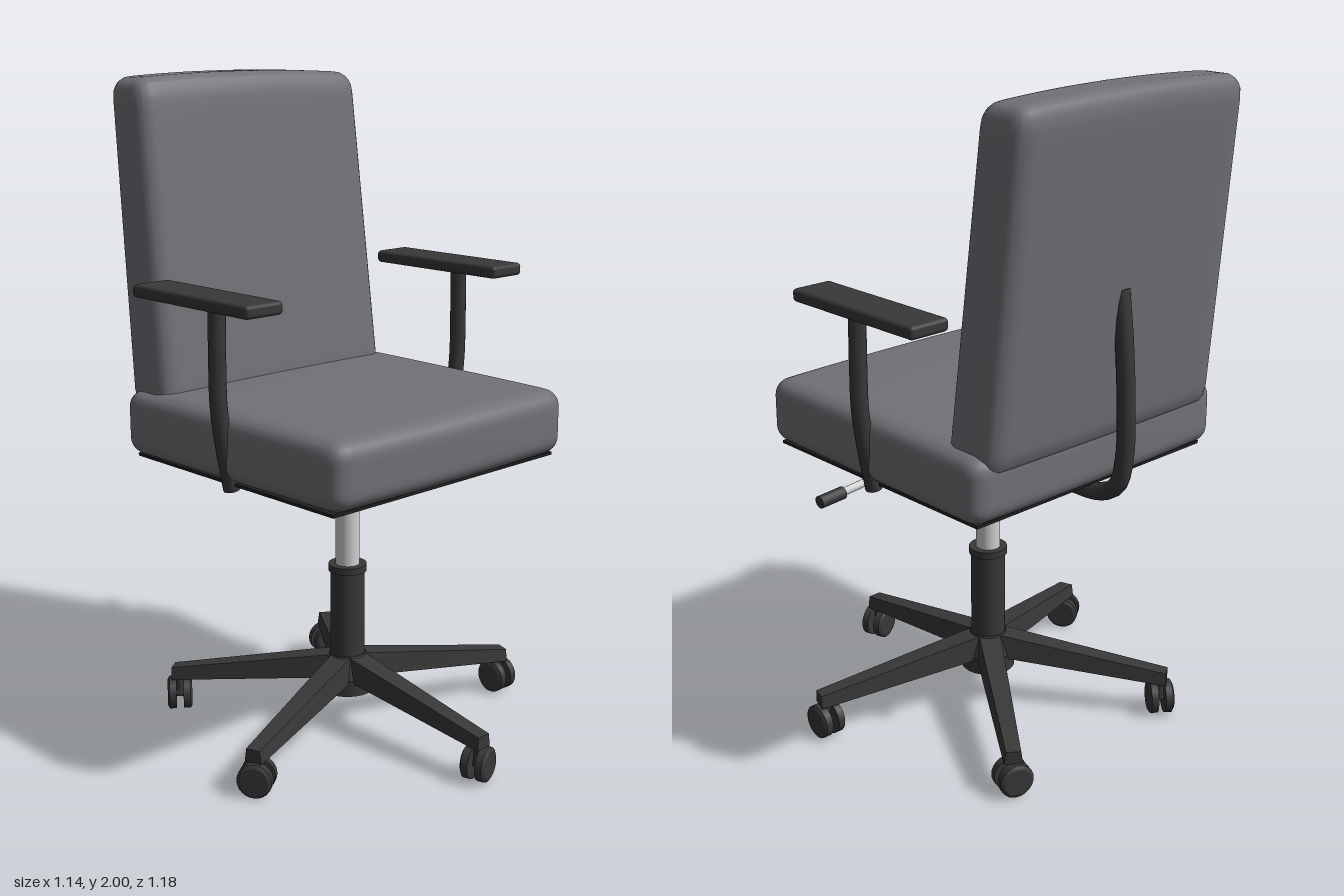
import * as THREE from 'three';
import { mergeVertices } from 'three/addons/utils/BufferGeometryUtils.js';
import { RoundedBoxGeometry } from 'three/addons/geometries/RoundedBoxGeometry.js';

const material = (name, color) => Object.assign(new THREE.MeshStandardMaterial({ color }), { name });
const fabric = material('grey fabric', 0x727177);
const plastic = material('dark plastic', 0x383838);
const chrome = material('chrome', 0xd2d2d2);
const black = material('black underside', 0x202020);

function part(name, geometry, mat, parent, x = 0, y = 0, z = 0) {
  const mesh = new THREE.Mesh(geometry, mat);
  mesh.name = name;
  mesh.position.set(x, y, z);
  parent.add(mesh);
  return mesh;
}

// Move every vertex of a geometry by a rule
function reshape(geometry, rule) {
  const pos = geometry.attributes.position;
  const p = new THREE.Vector3();
  for (let i = 0; i < pos.count; i++) {
    rule(p.fromBufferAttribute(pos, i));
    pos.setXYZ(i, p.x, p.y, p.z);
  }
  return geometry;
}

// Smooth padded block: rounded edges, then a softening rule
function cushion(w, h, d, r, rule) {
  let geo = new THREE.BoxGeometry(2, 2, 2, 22, 16, 22);
  geo.deleteAttribute('uv');
  geo.deleteAttribute('normal');
  geo = mergeVertices(geo, 1e-4);
  const half = new THREE.Vector3(w / 2, h / 2, d / 2);
  const inner = half.clone().subScalar(r);
  const core = new THREE.Vector3();
  reshape(geo, (p) => {
    for (const a of ['x', 'y', 'z']) p[a] = Math.sign(p[a]) * Math.sqrt(Math.abs(p[a])) * half[a];
    core.copy(p).clamp(inner.clone().negate(), inner);
    p.sub(core).setLength(r).add(core);
    rule(p);
  });
  geo.computeVertexNormals();
  return geo;
}

// Capped round bar through a few points
function bar(name, points, radius, mat, parent) {
  const group = new THREE.Group();
  group.name = name;
  const curve = new THREE.CatmullRomCurve3(points.map((p) => new THREE.Vector3(...p)));
  part(name + 'Tube', new THREE.TubeGeometry(curve, 32, radius, 14), mat, group);
  for (const t of [0, 1]) {
    const out = curve.getTangent(t).multiplyScalar(t ? 1 : -1);
    const cap = part(name + 'Cap', new THREE.CircleGeometry(radius, 14), mat, group, ...curve.getPoint(t));
    cap.quaternion.setFromUnitVectors(new THREE.Vector3(0, 0, 1), out);
  }
  parent.add(group);
}

export function createModel() {
  const chair = new THREE.Group();
  chair.name = 'officeChair';

  // Seat: crowned, slightly narrower at the front
  part('seat', cushion(0.98, 0.2, 0.92, 0.055, (p) => {
    const u = p.x / 0.49, v = p.z / 0.46;
    p.x *= 0.985 - 0.015 * v;
    p.z += Math.sign(v) * Math.abs(v) * 0.012 * (1 - u * u);
    if (p.y > 0) p.y += 0.012 * (1 - u * u) * (1 - v * v);
  }), fabric, chair, 0.003, 0.975, -0.01);
  part('seatUnderside', new THREE.BoxGeometry(0.91, 0.009, 0.86), black, chair, 0, 0.8725, -0.01);

  // Backrest: leaning back, thinner and narrower toward the top
  part('backrest', cushion(0.91, 0.98, 0.18, 0.055, (p) => {
    const u = p.x / 0.455, v = p.y / 0.49;
    p.x *= 0.972 - 0.022 * v;
    p.z *= 1 - 0.06 * v;
    p.z += Math.sign(p.z) * 0.008 * (1 - u * u) - 0.105 * p.y;
    if (v > 0) p.y += 0.014 * v * (1 - u * u);
  }), fabric, chair, 0, 1.495, -0.44);

  // Curved bar carrying the backrest
  bar('backSupport', [
    [0, 1.455, -0.515], [0, 1.3, -0.535], [0, 1.12, -0.548], [0, 0.98, -0.548],
    [0, 0.89, -0.525], [0, 0.85, -0.46], [0, 0.843, -0.36], [0, 0.843, -0.25],
  ], 0.026, plastic, chair);

  // Armrests
  for (const s of [-1, 1]) {
    const arm = new THREE.Group();
    arm.name = s > 0 ? 'leftArmrest' : 'rightArmrest';
    part('armPad', new RoundedBoxGeometry(0.132, 0.038, 0.506, 3, 0.012), plastic, arm, s * 0.492, 1.4, -0.058);
    bar('armPost', [
      [s * 0.492, 1.39, -0.01], [s * 0.494, 1.22, -0.01], [s * 0.492, 1.1, -0.01],
      [s * 0.475, 0.98, -0.01], [s * 0.45, 0.853, -0.01],
    ], 0.025, plastic, arm);
    arm.position.x = 0.004;
    chair.add(arm);
  }

  // Tilt mechanism and height lever
  part('mechanism', new THREE.BoxGeometry(0.51, 0.07, 0.43), fabric, chair, 0.003, 0.835, -0.055);
  bar('leverRod', [[0.24, 0.836, 0.1], [0.5, 0.812, 0.1]], 0.012, chrome, chair);
  bar('leverHandle', [[0.48, 0.813, 0.1], [0.565, 0.807, 0.1]], 0.019, plastic, chair);

  // Gas column with its collared sleeve
  part('column', new THREE.CylinderGeometry(0.037, 0.037, 0.32, 28), chrome, chair, 0, 0.66, 0);
  const sleeve = [[0, 0.2], [0.053, 0.2], [0.053, 0.503], [0.059, 0.503], [0.059, 0.525], [0, 0.525]];
  for (let i = 0; i < sleeve.length - 1; i++) {
    const pts = [sleeve[i], sleeve[i + 1]].map((p) => new THREE.Vector2(...p));
    part('sleeve', new THREE.LatheGeometry(pts, 28), plastic, chair);
  }

  // Five-legged base
  part('hub', new THREE.CylinderGeometry(0.083, 0.083, 0.05, 28), plastic, chair, 0, 0.14, 0);
  part('hubCone', new THREE.CylinderGeometry(0.056, 0.08, 0.07, 28), plastic, chair, 0, 0.2, 0);
  for (let i = 0; i < 5; i++) {
    const leg = new THREE.Group();
    leg.name = 'leg' + (i + 1);
    leg.rotation.y = (i * Math.PI * 2) / 5;
    // Beam tapering outward and sloping down, with a narrower top
    const beam = reshape(new THREE.BoxGeometry(1, 1, 1), (p) => {
      const t = p.z + 0.5, top = p.y > 0;
      p.x *= THREE.MathUtils.lerp(0.085, 0.055, t) * (top ? 0.8 : 1);
      p.y = top ? THREE.MathUtils.lerp(0.234, 0.143, t) : THREE.MathUtils.lerp(0.16, 0.103, t);
      p.z = THREE.MathUtils.lerp(0.03, 0.568, t);
    }).toNonIndexed();
    beam.computeVertexNormals();
    part('legBeam', beam, plastic, leg);

    // Twin-wheel caster, swivelled a little off the leg
    const caster = new THREE.Group();
    caster.name = 'caster';
    caster.position.set(0, 0.052, 0.548);
    caster.rotation.y = 0.29;
    part('casterStem', new THREE.CylinderGeometry(0.014, 0.014, 0.08, 12), plastic, caster, 0, 0.03, 0);
    part('axle', new THREE.CylinderGeometry(0.014, 0.014, 0.06, 12).rotateX(Math.PI / 2), plastic, caster);
    for (const s of [-1, 1]) {
      part('wheel', new THREE.CylinderGeometry(0.052, 0.052, 0.022, 24).rotateX(Math.PI / 2), plastic, caster, 0, 0, s * 0.022);
      const bevel = new THREE.CylinderGeometry(0.042, 0.052, 0.006, 24).rotateX(s * Math.PI / 2);
      part('wheelRim', bevel, plastic, caster, 0, 0, s * 0.036);
    }
    leg.add(caster);
    chair.add(leg);
  }
  return chair;
}
